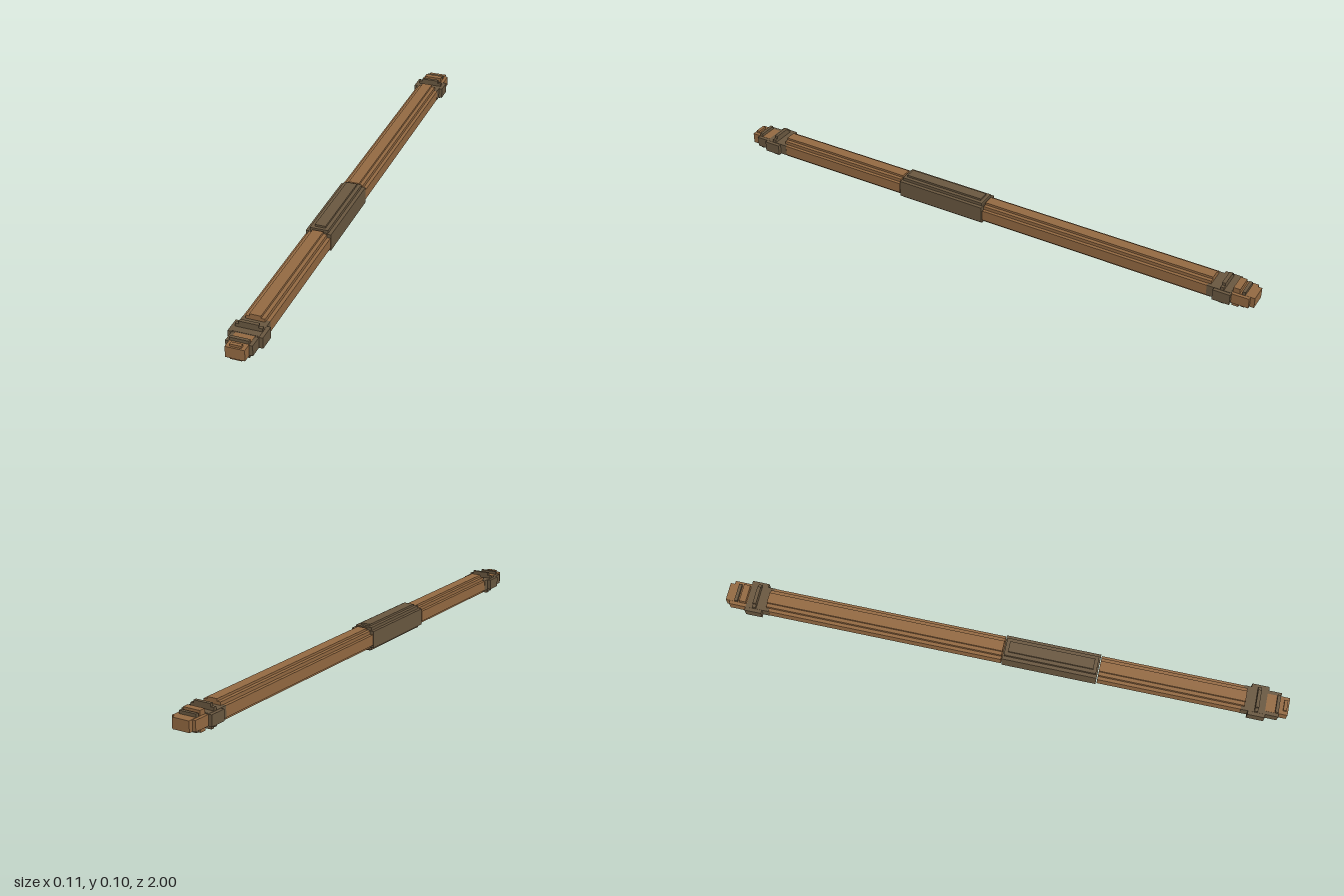
import * as THREE from 'three';

const wood = new THREE.MeshStandardMaterial({ color: 0x946a42 });
wood.name = 'brown wood';
const wrap = new THREE.MeshStandardMaterial({ color: 0x6a5840 });
wrap.name = 'dark wrap';

const MID = 0.048; // height of the staff axis

export function createModel() {
  const staff = new THREE.Group();
  staff.name = 'staff';

  // Block centred on the axis: half width, half height, z range
  const block = (name, mat, hx, hy, z0, z1) => {
    const mesh = new THREE.Mesh(new THREE.BoxGeometry(hx * 2, hy * 2, Math.abs(z1 - z0)), mat);
    mesh.position.set(0, MID, (z0 + z1) / 2);
    mesh.name = name;
    staff.add(mesh);
  };

  // Stepped octagonal shaft, in two lengths either side of the grip
  for (const [z0, z1] of [[-0.85, -0.003], [0.338, 0.85]]) {
    block('shaftSides', wood, 0.044, 0.019, z0, z1);
    block('shaftMiddle', wood, 0.032, 0.031, z0, z1);
    block('shaftRidge', wood, 0.019, 0.039, z0, z1);
  }

  // Grip, slightly taller than the shaft
  block('gripSides', wrap, 0.0445, 0.03, 0, 0.335);
  block('gripMiddle', wrap, 0.032, 0.041, 0.005, 0.33);
  block('gripRidge', wrap, 0.019, 0.048, 0.017, 0.318);

  // Collars with a thin raised ring, and the ring near each tip
  for (const s of [1, -1]) {
    block('collar', wrap, 0.0445, 0.02, s * 0.84, s * 0.922);
    block('collarFlange', wrap, 0.057, 0.019, s * 0.865, s * 0.925);
    block('collarRingWide', wrap, 0.044, 0.031, s * 0.886, s * 0.898);
    block('collarRingTall', wrap, 0.032, 0.041, s * 0.886, s * 0.898);
    block('tipRing', wrap, 0.032, 0.03, s * 0.956, s * 0.967);
    block('tip', wood, 0.032, 0.019, s * 0.92, s);
  }

  // Front neck and tip step
  block('frontNeck', wrap, 0.044, 0.018, 0.92, 0.97);
  block('frontTipStep', wood, 0.019, 0.027, 0.982, 0.994);

  // Back neck and its raised step
  block('backNeck', wood, 0.044, 0.018, -0.92, -0.985);
  block('backNeckStep', wood, 0.032, 0.035, -0.925, -0.948);

  return staff;
}
